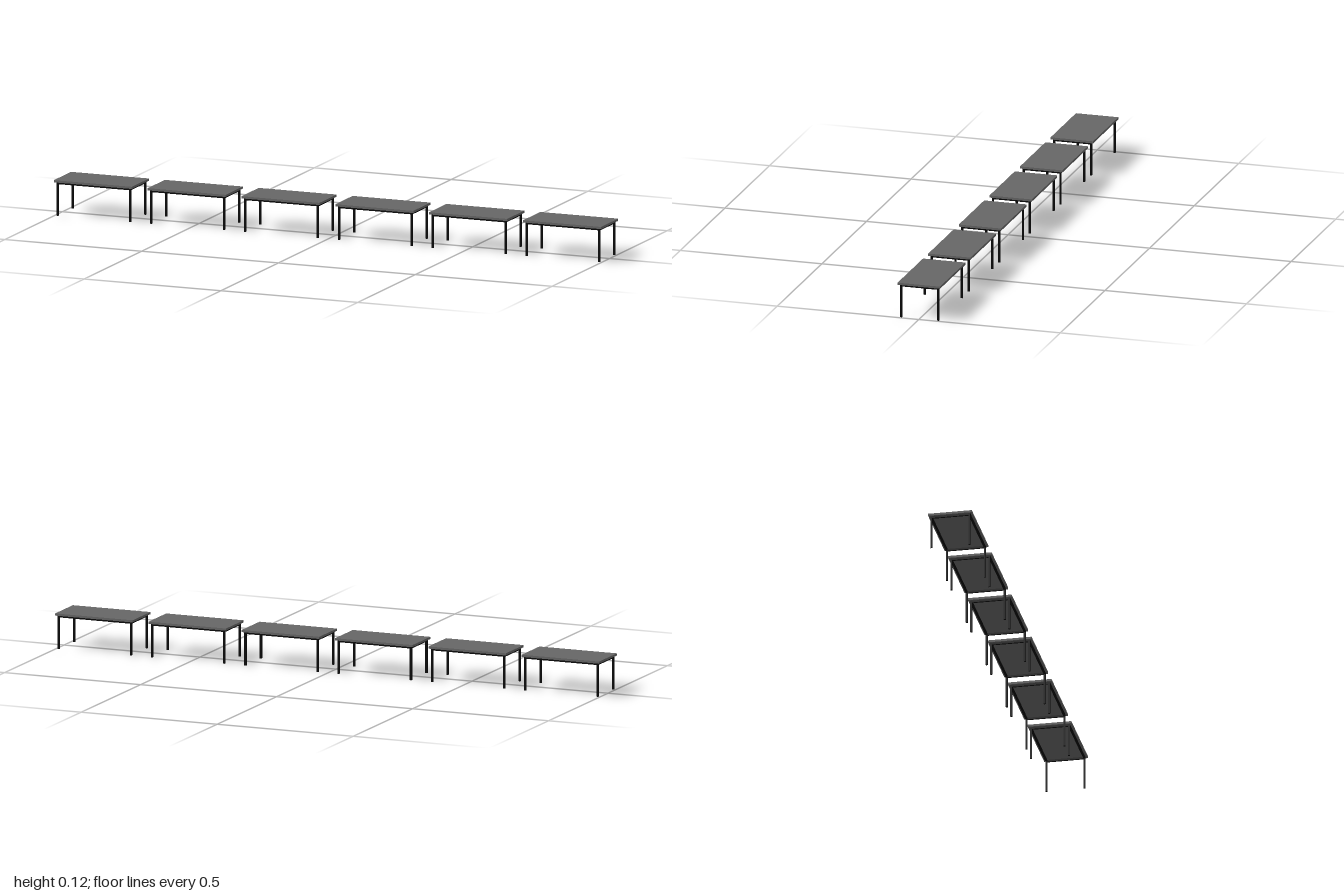
import * as THREE from 'three';

const COUNT = 6, PITCH = 0.343;
const WIDTH = 0.285, DEPTH = 0.15, HEIGHT = 0.123, SLAB = 0.0075;
const BAR = 0.0065; // square tube of the frame
const INSET = 0.0065; // frame set back from the edge of the top

const topMaterial = new THREE.MeshStandardMaterial({ color: 0x666666 });
const frameMaterial = new THREE.MeshStandardMaterial({ color: 0x060606 });

function addBox(parent, name, material, [w, h, d], [x, y, z]) {
  const mesh = new THREE.Mesh(new THREE.BoxGeometry(w, h, d), material);
  mesh.name = name;
  mesh.position.set(x, y, z);
  parent.add(mesh);
}

function createTable() {
  const table = new THREE.Group();
  const frameTop = HEIGHT - SLAB;
  const legX = WIDTH / 2 - INSET - BAR / 2;
  const legZ = DEPTH / 2 - INSET - BAR / 2;
  const railY = frameTop - BAR / 2;

  addBox(table, 'tableTop', topMaterial, [WIDTH, SLAB, DEPTH], [0, HEIGHT - SLAB / 2, 0]);

  for (const side of [-1, 1]) {
    // Rails run between the legs
    addBox(table, 'longRail', frameMaterial, [2 * legX - BAR, BAR, BAR], [0, railY, side * legZ]);
    addBox(table, 'shortRail', frameMaterial, [BAR, BAR, 2 * legZ - BAR], [side * legX, railY, 0]);
    for (const end of [-1, 1]) {
      addBox(table, 'leg', frameMaterial, [BAR, frameTop, BAR], [side * legX, frameTop / 2, end * legZ]);
    }
  }
  return table;
}

export function createModel() {
  const model = new THREE.Group();
  model.name = 'tableRow';
  // Identical tables in a straight row
  for (let i = 0; i < COUNT; i++) {
    const table = createTable();
    table.name = `table${i + 1}`;
    table.position.x = (i - (COUNT - 1) / 2) * PITCH;
    model.add(table);
  }
  return model;
}
